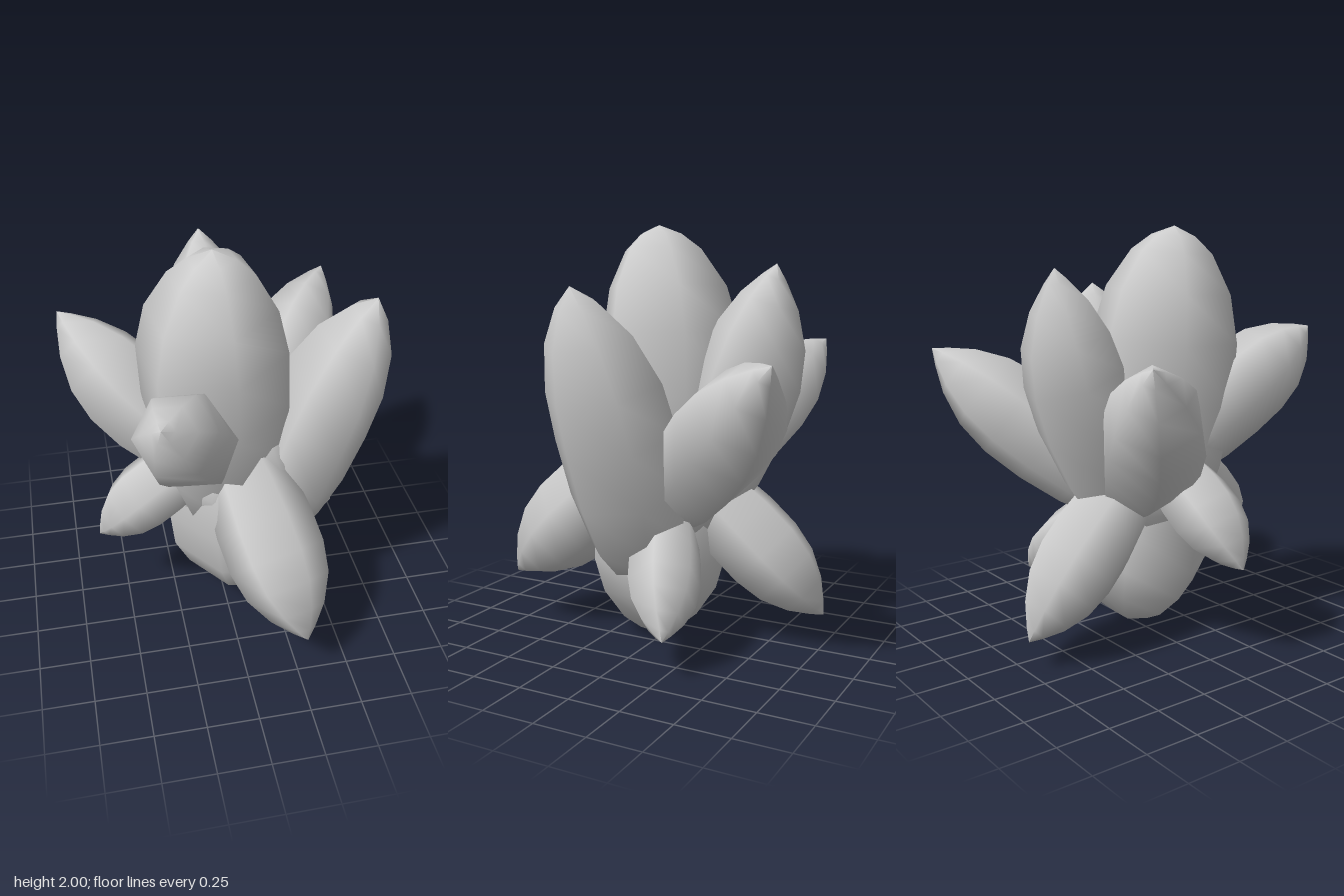
import * as THREE from 'three';

const material = new THREE.MeshStandardMaterial({ color: 0xcccccc, side: THREE.DoubleSide });

// Radius (as a share of the widest) against distance from base to tip
const POINTED = [[0, 0], [0.02, 0.72], [0.2, 0.91], [0.4, 1], [0.58, 1], [0.73, 0.87], [0.86, 0.57], [0.95, 0.23], [1, 0]];
const BLUNT = [[0, 0], [0.02, 0.6], [0.25, 0.9], [0.45, 1], [0.65, 1], [0.8, 0.85], [0.92, 0.55], [0.97, 0.3], [1, 0]];
const TALL = [[0, 0], [0.03, 0.5], [0.13, 0.78], [0.3, 0.96], [0.5, 1], [0.67, 0.94], [0.83, 0.7], [0.94, 0.34], [1, 0]];

// A faceted, pointed lobe from base to tip; bend pushes its middle sideways
function lobe(name, base, tip, radius, { spin = 0, bend = [0, 0, 0], profile = POINTED, width = 1 } = {}) {
  const a = new THREE.Vector3(...base);
  const axis = new THREE.Vector3(...tip).sub(a);
  const length = axis.length();
  const points = profile.map(([t, r]) => new THREE.Vector2(r * radius, t * length));
  const geometry = new THREE.LatheGeometry(points, 6);
  geometry.rotateY(spin);
  geometry.scale(width, 1, 1);
  const position = geometry.attributes.position;
  const along = Array.from({ length: position.count }, (_, i) => position.getY(i) / length);
  geometry.applyQuaternion(new THREE.Quaternion().setFromUnitVectors(new THREE.Vector3(0, 1, 0), axis.normalize()));
  const push = new THREE.Vector3(...bend);
  const v = new THREE.Vector3();
  along.forEach((t, i) => {
    v.fromBufferAttribute(position, i).add(a).addScaledVector(push, 4 * t * (1 - t));
    position.setXYZ(i, v.x, v.y, v.z);
  });
  const mesh = new THREE.Mesh(geometry, material);
  mesh.name = name;
  return mesh;
}

export function createModel() {
  const group = new THREE.Group();
  group.name = 'crystalCluster';
  group.add(
    // Upright core and its rounded foot
    lobe('mainLobe', [0.04, 0.5, 0.08], [-0.05, 2, 0.13], 0.36, { spin: 0.15, bend: [-0.03, 0, -0.05], profile: BLUNT }),
    lobe('footLobe', [0.05, 1.05, 0.07], [0.15, 0, 0.02], 0.33, { spin: 0.3, profile: BLUNT, bend: [-0.04, 0, 0.02] }),
    // Tall lobes beside and behind the core
    lobe('leftTallLobe', [0.27, 0.35, 0.07], [0.7, 1.71, 0.16], 0.31, { spin: 0.15, bend: [-0.01, 0, -0.04], profile: TALL, width: 0.82 }),
    lobe('backTallLobe', [0.03, 0.6, -0.1], [0, 1.81, -0.51], 0.25, { spin: 0.2, bend: [0.02, 0, -0.06] }),
    // Lobes leaning up and out
    lobe('backLeftLobe', [0.12, 0.68, -0.05], [0.72, 1.41, -0.78], 0.24, { spin: 0.4, bend: [0, -0.02, 0] }),
    lobe('backRightLobe', [-0.02, 0.75, -0.08], [-0.72, 1.43, -0.51], 0.245, { bend: [-0.01, -0.04, 0.05] }),
    lobe('frontRightLobe', [-0.08, 0.9, 0.1], [-0.37, 1.52, 0.72], 0.22, { spin: 0.3, bend: [0, 0.02, 0] }),
    // Lobes pointing down and out
    lobe('frontLowLobe', [0.06, 0.93, 0.1], [0.28, 0.25, 0.79], 0.24, { spin: 0.2 }),
    lobe('rightLowLobe', [-0.08, 0.87, 0.05], [-0.63, 0.46, 0.08], 0.175, { spin: 0.5, bend: [0, 0.03, 0] }),
    lobe('leftLowLobe', [0.15, 0.64, -0.02], [0.69, 0.19, -0.28], 0.17, { spin: 0.2 }),
    lobe('backLowLobe', [0, 0.8, -0.06], [-0.1, 0.14, -0.74], 0.215, { spin: 0.5, bend: [0, 0.01, 0] }),
  );
  // Shared heart where the lobes meet
  const heart = new THREE.Mesh(new THREE.SphereGeometry(0.35, 12, 8), material);
  heart.name = 'heart';
  heart.position.set(0.08, 0.78, 0.02);
  group.add(heart);
  return group;
}
